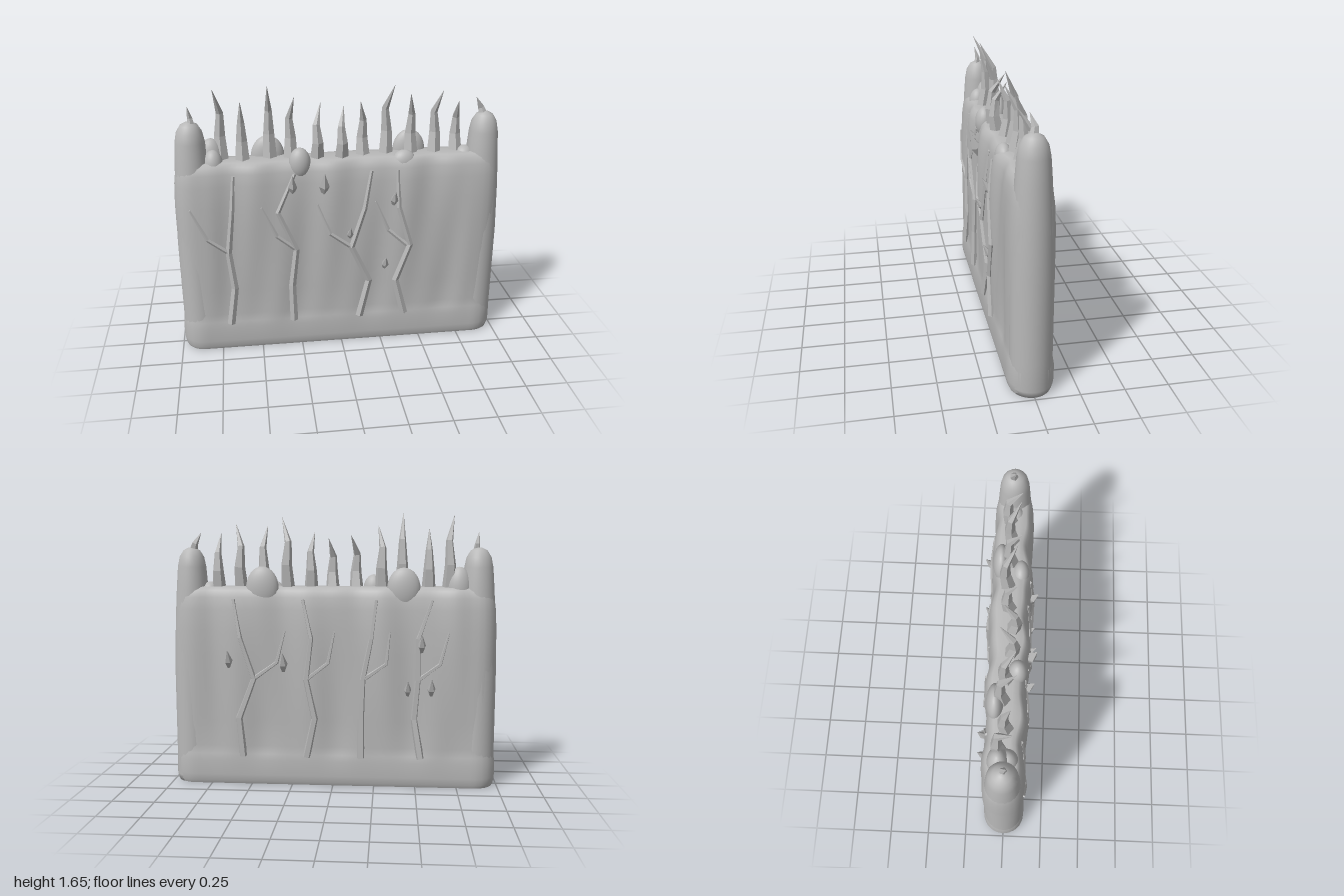
import * as THREE from 'three';

export function createModel() {
  const model = new THREE.Group();
  const stone = new THREE.MeshStandardMaterial({ color: 0xb8b8b8 });
  const facetedStone = stone.clone();
  facetedStone.flatShading = true;

  const add = (name, geometry, material = stone) => {
    const mesh = new THREE.Mesh(geometry, material);
    mesh.name = name;
    model.add(mesh);
    return mesh;
  };

  // Vertical profile of the wall: [height, half thickness]
  const profile = [
    [0, 0.115], [0.02, 0.124], [0.06, 0.13], [0.15, 0.129], [0.19, 0.122], [0.24, 0.115],
    [0.4, 0.117], [0.6, 0.12], [0.8, 0.121], [0.95, 0.12], [1.08, 0.113], [1.15, 0.103],
    [1.19, 0.09], [1.21, 0.07],
  ];
  const ripple = (x, y, side) => {
    const fade = THREE.MathUtils.smoothstep(y, 0.12, 0.3) * (1 - THREE.MathUtils.smoothstep(Math.abs(x), 0.7, 0.9));
    return fade * 0.009 * (Math.sin(x * 15 + side * 1.2 + y) + 0.5 * Math.sin(x * 27 - y * 3));
  };
  const thickness = (y) => {
    let i = 1;
    while (i < profile.length - 1 && profile[i][0] < y) i++;
    const [y0, r0] = profile[i - 1], [y1, r1] = profile[i];
    return THREE.MathUtils.lerp(r0, r1, (y - y0) / (y1 - y0));
  };
  const surfaceZ = (x, y, side) => side * (thickness(y) + ripple(x, y, side));

  // Joins equal rings of points, listed from bottom to top
  const joinRings = (positions, n, rows) => {
    const index = [];
    for (let j = 0; j < rows - 1; j++) {
      for (let i = 0; i < n; i++) {
        const a = j * n + i, b = j * n + (i + 1) % n;
        index.push(a, a + n, b, b, a + n, b + n);
      }
    }
    const geometry = new THREE.BufferGeometry();
    geometry.setAttribute('position', new THREE.Float32BufferAttribute(positions, 3));
    geometry.setIndex(index);
    return geometry;
  };

  // Wall with rounded ends; repeated rows keep the bottom edge sharp
  const core = 0.86, straight = 60, bend = 10;
  const rows = [[0, 0], [0, 0.115], ...profile, [1.215, 0.035], [1.215, 0]];
  const wallPoints = [];
  for (const [y, r] of rows) {
    const wave = (x, side) => (r > 0.04 ? ripple(x, y, side) : 0);
    for (const side of [1, -1]) {
      for (let i = 0; i < bend; i++) {
        const a = -Math.PI / 2 + Math.PI * i / bend;
        wallPoints.push(side * (core + r * Math.cos(a)), y, side * r * Math.sin(a));
      }
      for (let i = 0; i < straight; i++) {
        const x = side * core * (1 - 2 * i / straight);
        wallPoints.push(x, y, side * (r + wave(x, side)));
      }
    }
  }
  const wallGeometry = joinRings(wallPoints, 2 * (straight + bend), rows.length);
  wallGeometry.computeVertexNormals();
  add('wall', wallGeometry);

  // Rounded end pillars
  const pillarProfile = [
    [0, 0], [0.108, 0], [0.12, 0.04], [0.118, 0.2], [0.118, 0.7], [0.108, 1.0], [0.096, 1.2],
    [0.086, 1.33], [0.074, 1.39], [0.05, 1.43], [0.02, 1.446], [0, 1.448],
  ].map(([x, y]) => new THREE.Vector2(x, y));
  for (const x of [-0.865, 0.873]) {
    add('endPillar', new THREE.LatheGeometry(pillarProfile, 32)).position.x = x;
  }

  // Soft lumps on the top edge: [x, y, z, rx, ry, rz]
  const lumps = [
    [-0.24, 1.19, 0.06, 0.065, 0.095, 0.055], [0.38, 1.17, 0.055, 0.075, 0.075, 0.05],
    [-0.42, 1.2, -0.06, 0.1, 0.13, 0.05], [0.43, 1.2, -0.06, 0.1, 0.135, 0.05],
    [-0.75, 1.2, -0.03, 0.075, 0.135, 0.06], [0.76, 1.18, 0, 0.06, 0.06, 0.06],
    [-0.74, 1.18, 0.02, 0.06, 0.1, 0.06],
  ];
  for (const [x, y, z, rx, ry, rz] of lumps) {
    const lump = add('topLump', new THREE.SphereGeometry(1, 24, 16));
    lump.position.set(x, y, z);
    lump.scale.set(rx, ry, rz);
  }

  // Tapered five-sided stem through a few points
  const stem = (points, radii) => {
    const p = points.map((q) => new THREE.Vector3(...q));
    const n = 5, positions = [];
    const forward = new THREE.Vector3(0, 0, 1);
    p.forEach((centre, j) => {
      const t = p[Math.min(j + 1, p.length - 1)].clone().sub(p[Math.max(j - 1, 0)]).normalize();
      const s = t.clone().cross(forward).normalize();
      const f = s.clone().cross(t).negate().normalize();
      if (f.z < 0) f.negate();
      for (let i = 0; i < n; i++) {
        const a = Math.PI / 2 + i * 2 * Math.PI / n;
        const v = centre.clone().addScaledVector(s, radii[j] * Math.cos(a)).addScaledVector(f, radii[j] * Math.sin(a));
        positions.push(v.x, v.y, v.z);
      }
    });
    const geometry = joinRings(positions, n, p.length);
    const index = [...geometry.index.array];
    const last = (p.length - 1) * n;
    for (let i = 1; i < n - 1; i++) {
      index.push(0, i, i + 1, last, last + i + 1, last + i);
    }
    geometry.setIndex(index);
    geometry.computeVertexNormals();
    return geometry;
  };

  // Creeping vines: side, x at each height, then the branch x values
  const stemHeights = [0.18, 0.42, 0.66, 0.91, 1.14];
  const branchHeights = [0.66, 0.76, 0.95];
  const vines = [
    [1, [-0.69, -0.655, -0.68, -0.65, -0.63], [-0.68, -0.8, -0.89]],
    [1, [-0.3, -0.305, -0.275, -0.38, -0.275], [-0.275, -0.39, -0.475]],
    [1, [0.11, 0.17, 0.06, 0.14, 0.18], [0.06, -0.07, -0.145]],
    [1, [0.395, 0.335, 0.42, 0.345, 0.335], [0.4, 0.285, 0.205]],
    [-1, [0.55, 0.57, 0.48, 0.56, 0.6], [0.48, 0.34, 0.29]],
    [-1, [0.16, 0.11, 0.16, 0.13, 0.18], [0.16, 0.03, -0.01]],
    [-1, [-0.17, -0.17, -0.18, -0.23, -0.26], [-0.18, -0.32, -0.34]],
    [-1, [-0.53, -0.49, -0.51, -0.51, -0.59], [-0.51, -0.64, -0.69]],
  ];
  for (const [side, xs, branch] of vines) {
    const follow = (values, heights) => values.map((x, i) => [x, heights[i], surfaceZ(x, heights[i], side)]);
    add('vine', stem(follow(xs, stemHeights), [0.025, 0.023, 0.02, 0.016, 0.011]), facetedStone);
    add('vineBranch', stem(follow(branch, branchHeights), [0.015, 0.013, 0.006]), facetedStone);
  }

  // Curved spikes along the top: [base x, tip x, tip y, base z, tip z]
  const spikes = [
    [-0.69, -0.72, 1.64, -0.02, 0.05], [-0.57, -0.57, 1.56, 0.01, 0.03],
    [-0.41, -0.415, 1.65, -0.015, 0.055], [-0.29, -0.265, 1.58, 0, 0.045],
    [-0.135, -0.105, 1.52, 0.015, -0.045], [0.01, 0.03, 1.5, 0.02, -0.03],
    [0.14, 0.12, 1.54, 0, 0.04], [0.28, 0.32, 1.63, -0.015, 0.035],
    [0.43, 0.41, 1.58, 0, 0.06], [0.57, 0.605, 1.59, 0, 0.045],
    [0.705, 0.7, 1.53, -0.015, 0.05],
  ];
  for (const [x, tipX, tipY, z, tipZ] of spikes) {
    const h = tipY - 1.19;
    const bow = tipZ > z ? -0.02 : 0.02;
    add('topSpike', stem([
      [x, 1.19, z], [x + (tipX - x) * 0.15, 1.19 + h * 0.35, z + bow],
      [x + (x - tipX) * 0.1, 1.19 + h * 0.66, z + bow * 0.6], [tipX, tipY, tipZ],
    ], [0.045, 0.034, 0.022, 0.001]), facetedStone);
  }

  // Small spikes on the pillars
  add('pillarSpike', stem([[-0.85, 1.42, 0.01], [-0.855, 1.47, 0], [-0.865, 1.54, 0.02]], [0.022, 0.016, 0.001]), facetedStone);
  add('pillarSpike', stem([[0.865, 1.42, 0], [0.85, 1.47, -0.01], [0.815, 1.535, 0.01]], [0.028, 0.02, 0.001]), facetedStone);

  // Thorns on both faces, pointing out and up: [x, y, side, size]
  const thorns = [
    [-0.29, 1.07, 1, 1], [-0.105, 1.07, 1, 1.15], [0.05, 0.75, 1, 0.7], [0.27, 0.53, 1, 0.8], [0.315, 0.96, 1, 0.85],
    [0.63, 0.77, -1, 0.9], [0.3, 0.75, -1, 1], [-0.45, 0.6, -1, 0.8], [-0.59, 0.61, -1, 0.9], [-0.53, 0.87, -1, 0.9],
  ];
  for (const [x, y, side, size] of thorns) {
    const z = surfaceZ(x, y, side);
    add('thorn', stem([
      [x, y - 0.05 * size, z - side * 0.012], [x, y, z + side * 0.01], [x, y + 0.075 * size, z + side * 0.045],
    ], [0.012 * size, 0.028 * size, 0.001]), facetedStone);
  }

  return model;
}
